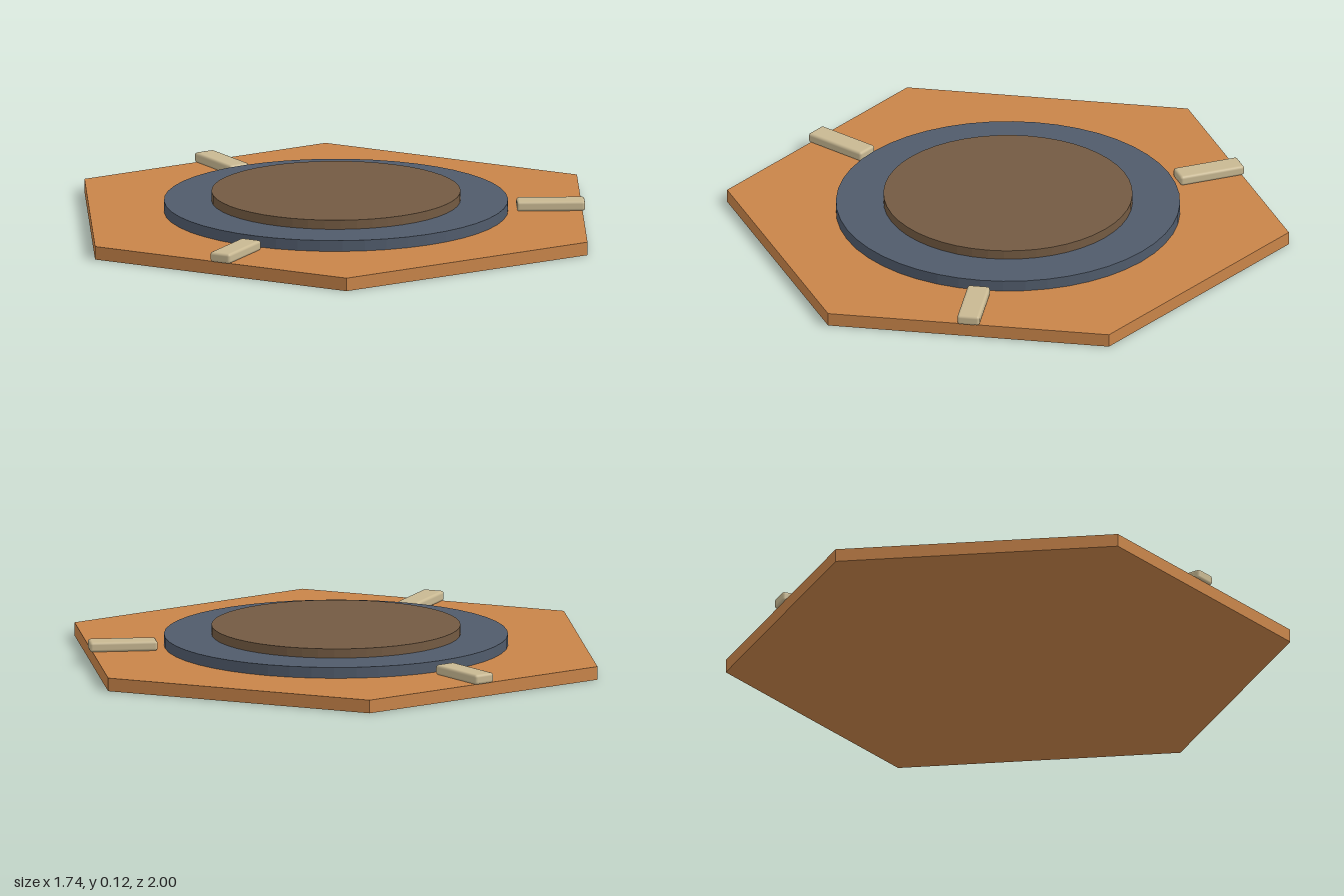
import * as THREE from 'three';
import { RoundedBoxGeometry } from 'three/addons/geometries/RoundedBoxGeometry.js';

const material = (name, color, flatShading = false) => {
  const m = new THREE.MeshStandardMaterial({ color, flatShading });
  m.name = name;
  return m;
};

export function createModel() {
  const model = new THREE.Group();
  model.name = 'hexagonalPlaque';

  const copper = material('copper', 0xc88449, true);
  const slate = material('slate', 0x505b6b, true);
  const brown = material('brown', 0x735a42, true);
  const sand = material('sand', 0xc8b892);

  const centreX = -0.005;

  // Flat prism or disc standing on the given height
  const addDisc = (name, radius, bottom, top, sides, mat) => {
    const mesh = new THREE.Mesh(new THREE.CylinderGeometry(radius, radius, top - bottom, sides), mat);
    mesh.name = name;
    mesh.position.set(centreX, (bottom + top) / 2, 0);
    model.add(mesh);
  };

  // Stacked body: hexagon with points towards front and back, then two discs
  addDisc('hexagonBase', 1, 0, 0.047, 6, copper);
  addDisc('outerDisc', 0.605, 0.047, 0.086, 48, slate);
  addDisc('innerDisc', 0.438, 0.086, 0.119, 48, brown);

  // Three radial clips with softened edges
  const clipGeometry = new RoundedBoxGeometry(0.24, 0.036, 0.08, 2, 0.01);
  for (let i = 0; i < 3; i++) {
    const angle = (i * Math.PI * 2) / 3;
    const clip = new THREE.Mesh(clipGeometry, sand);
    clip.name = `clip${i + 1}`;
    clip.position.set(centreX + 0.755 * Math.cos(angle), 0.064, -0.755 * Math.sin(angle));
    clip.rotation.y = angle;
    model.add(clip);
  }

  return model;
}
